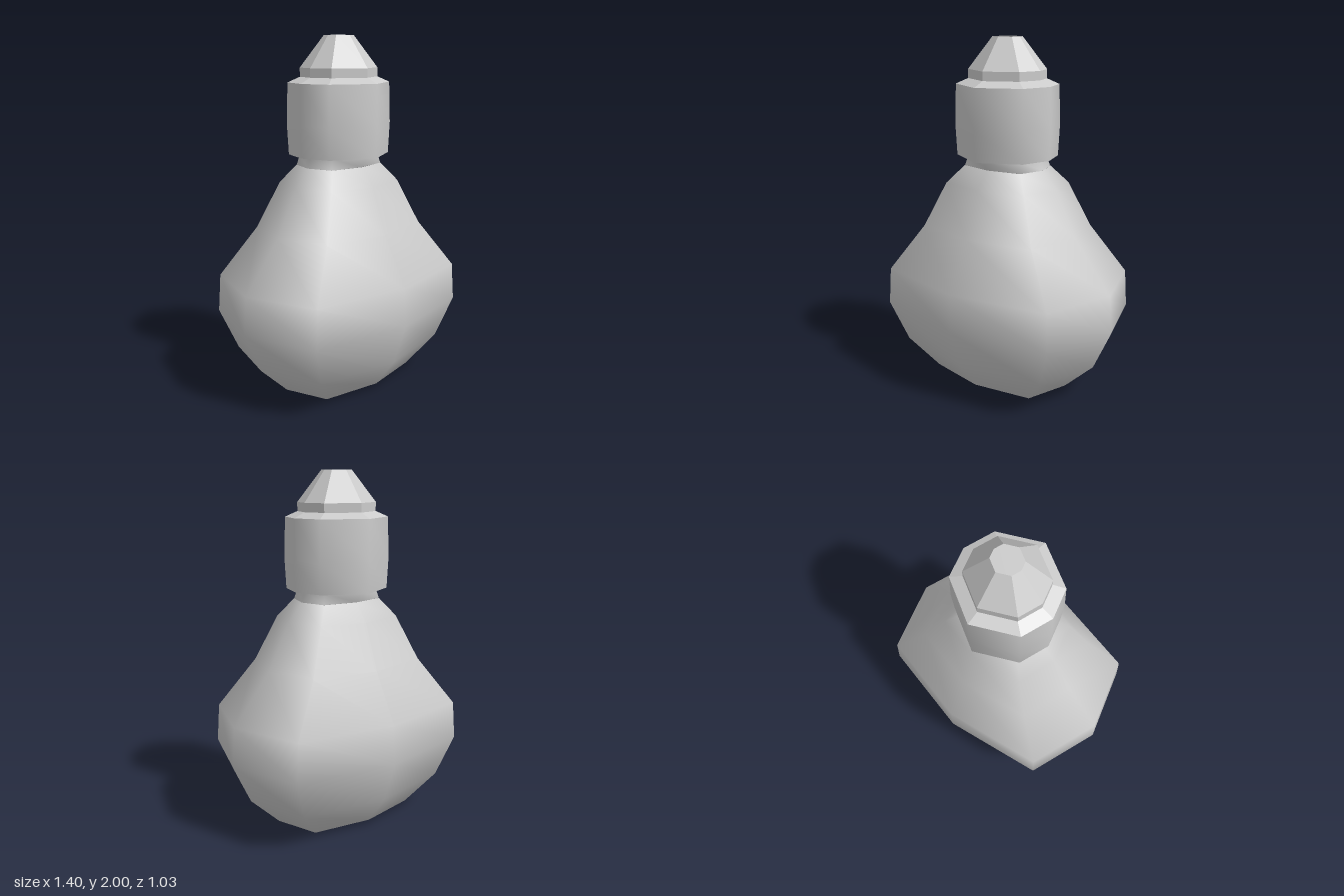
import * as THREE from 'three';

const SIDES = 8;

// Eight-sided body outline (x, z); the second half mirrors the first through the centre
const half = [[0.70, -0.115], [0.63, 0.318], [0.08, 0.512], [-0.50, 0.50]];
const outline = [...half, ...half.map(([x, z]) => [-x, -z])];

// Matching uneven directions for the round parts
const halfAngles = [-9.5, 27, 81, 136];
const angles = [...halfAngles, ...halfAngles.map(a => a + 180)].map(THREE.MathUtils.degToRad);

const bodyRing = (y, halfX, halfZ) =>
  outline.map(([x, z]) => [x * halfX / 0.70, y, z * halfZ / 0.512]);
const roundRing = (y, r) => angles.map(a => [r * Math.cos(a), y, r * Math.sin(a)]);

// Skin a stack of rings from bottom to top, optionally closing the ends with a fan
function loft(rings, { bottom = false, top = false } = {}) {
  const positions = rings.flat(2);
  const index = [];
  const last = (rings.length - 1) * SIDES;
  for (let r = 0; r < rings.length - 1; r++) {
    for (let i = 0; i < SIDES; i++) {
      const a = r * SIDES + i, b = r * SIDES + (i + 1) % SIDES;
      index.push(a, a + SIDES, b + SIDES, a, b + SIDES, b);
    }
  }
  if (bottom) {
    const c = positions.length / 3;
    positions.push(0, rings[0][0][1], 0);
    for (let i = 0; i < SIDES; i++) index.push(c, i, (i + 1) % SIDES);
  }
  if (top) {
    const c = positions.length / 3;
    positions.push(0, rings[rings.length - 1][0][1], 0);
    for (let i = 0; i < SIDES; i++) index.push(c, last + (i + 1) % SIDES, last + i);
  }
  const geometry = new THREE.BufferGeometry();
  geometry.setAttribute('position', new THREE.Float32BufferAttribute(positions, 3));
  geometry.setIndex(index);
  geometry.computeVertexNormals();
  return geometry;
}

export function createModel() {
  const group = new THREE.Group();
  const smooth = new THREE.MeshStandardMaterial({ color: 0xcccccc, side: THREE.DoubleSide });
  const faceted = new THREE.MeshStandardMaterial({ color: 0xcccccc, side: THREE.DoubleSide, flatShading: true });

  const add = (name, geometry, material) => {
    const mesh = new THREE.Mesh(geometry, material);
    mesh.name = name;
    group.add(mesh);
  };

  // Bulbous flattened flask: height, half width, half depth
  const profile = [
    [0, 0.32, 0.23], [0.03, 0.415, 0.305], [0.205, 0.595, 0.435], [0.44, 0.70, 0.515],
    [0.655, 0.685, 0.505], [0.93, 0.462, 0.36], [1.185, 0.33, 0.265], [1.285, 0.24, 0.178],
  ];
  add('body', loft(profile.map(p => bodyRing(...p)), { bottom: true }), smooth);

  // Neck turns from the flattened outline to a round one inside the collar
  add('neck', loft([bodyRing(1.285, 0.24, 0.175), roundRing(1.345, 0.222), roundRing(1.45, 0.215)]), smooth);

  // Collar sleeve, open underneath
  add('collar', loft([roundRing(1.345, 0.285), roundRing(1.52, 0.294), roundRing(1.745, 0.287)]), smooth);

  // Sloping shoulder that also closes the collar beneath the nozzle
  add('collarShoulder', loft([roundRing(1.745, 0.287), roundRing(1.775, 0.218)], { top: true }), faceted);

  // Faceted hollow nozzle with an open tip
  add('nozzle', loft([roundRing(1.775, 0.218), roundRing(1.825, 0.218), roundRing(2, 0.083)]), faceted);

  return group;
}
